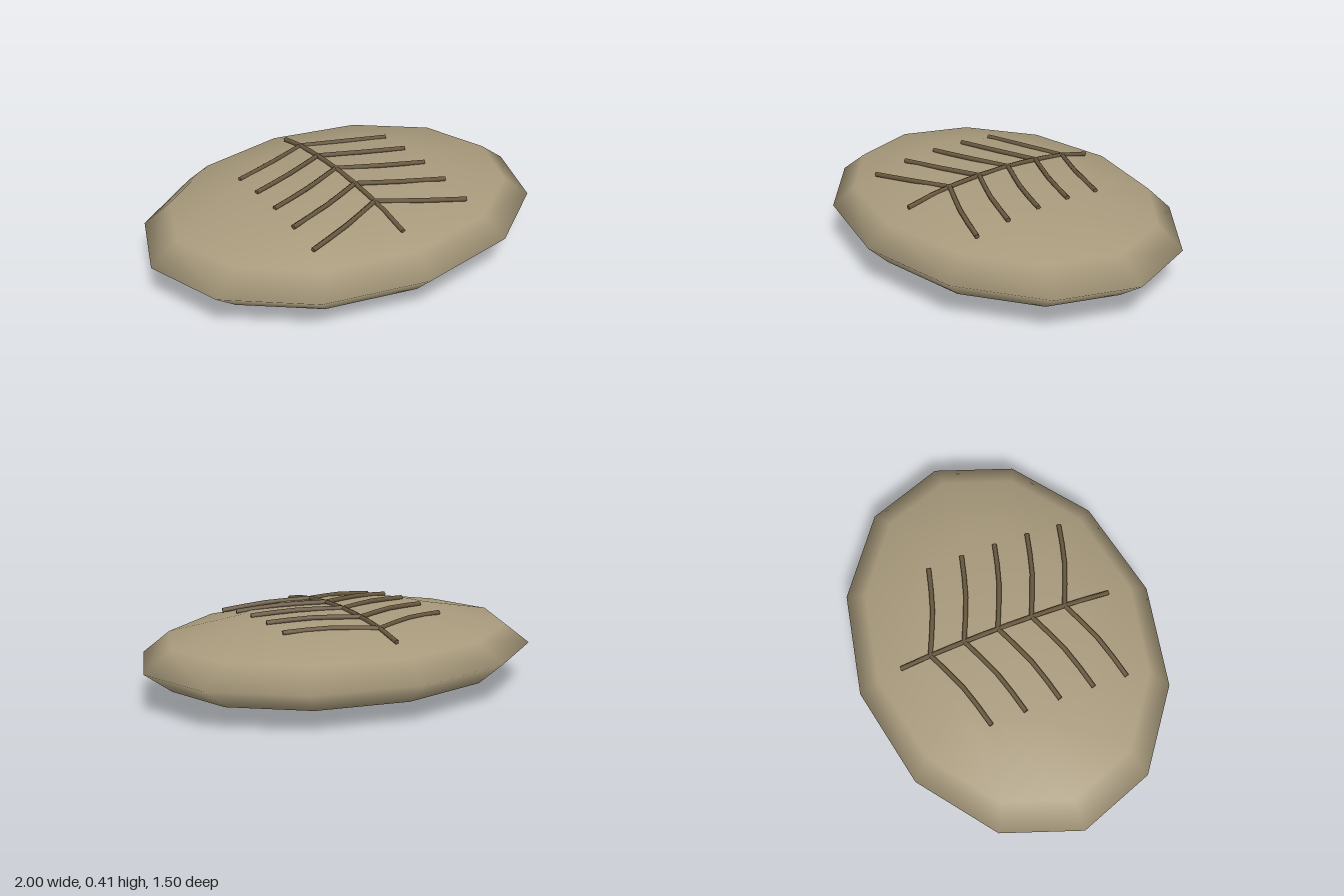
import * as THREE from 'three';

const HALF = { x: 1, y: 0.2, z: 0.75 };

export function createModel() {
  const model = new THREE.Group();
  const shellMat = new THREE.MeshStandardMaterial({ color: 0xa89a7c });
  shellMat.name = 'tan shell';
  const veinMat = new THREE.MeshStandardMaterial({ color: 0x6b5a40 });
  veinMat.name = 'brown vein';

  // Point lying just above the upper surface of the body
  const onTop = (x, z) => new THREE.Vector3(
    x,
    HALF.y + 0.003 + HALF.y * Math.sqrt(1 - (x / HALF.x) ** 2 - (z / HALF.z) ** 2),
    z,
  );

  // Capped thin rod along a curve
  function rod(name, points, segments) {
    const group = new THREE.Group();
    group.name = name;
    const curve = new THREE.CatmullRomCurve3(points);
    const radius = 0.012;
    const tube = new THREE.Mesh(new THREE.TubeGeometry(curve, segments, radius, 5), veinMat);
    tube.name = name + 'Tube';
    group.add(tube);
    for (const end of [0, 1]) {
      const cap = new THREE.Mesh(new THREE.CircleGeometry(radius, 5), veinMat);
      cap.name = name + 'Cap';
      const out = curve.getTangentAt(end).multiplyScalar(end ? 1 : -1);
      cap.quaternion.setFromUnitVectors(new THREE.Vector3(0, 0, 1), out);
      cap.position.copy(curve.getPointAt(end));
      group.add(cap);
    }
    model.add(group);
  }

  // Flattened low-poly body
  const body = new THREE.Mesh(
    new THREE.SphereGeometry(1, 12, 6).scale(HALF.x, HALF.y, HALF.z), shellMat);
  body.name = 'body';
  body.position.y = HALF.y;
  model.add(body);

  // Central spine running front to back
  const spine = [];
  for (let i = 0; i <= 8; i++) spine.push(onTop(0, -0.53 + (1.06 * i) / 8));
  rod('spine', spine, 8);

  // Five mirrored pairs of side veins sweeping forward
  for (let i = 0; i < 5; i++) {
    const z = -0.38 + i * 0.17;
    for (const side of [1, -1]) {
      rod(side > 0 ? 'leftVein' : 'rightVein', [
        onTop(0, z), onTop(side * 0.215, z + 0.09), onTop(side * 0.42, z + 0.145),
      ], 4);
    }
  }
  return model;
}
